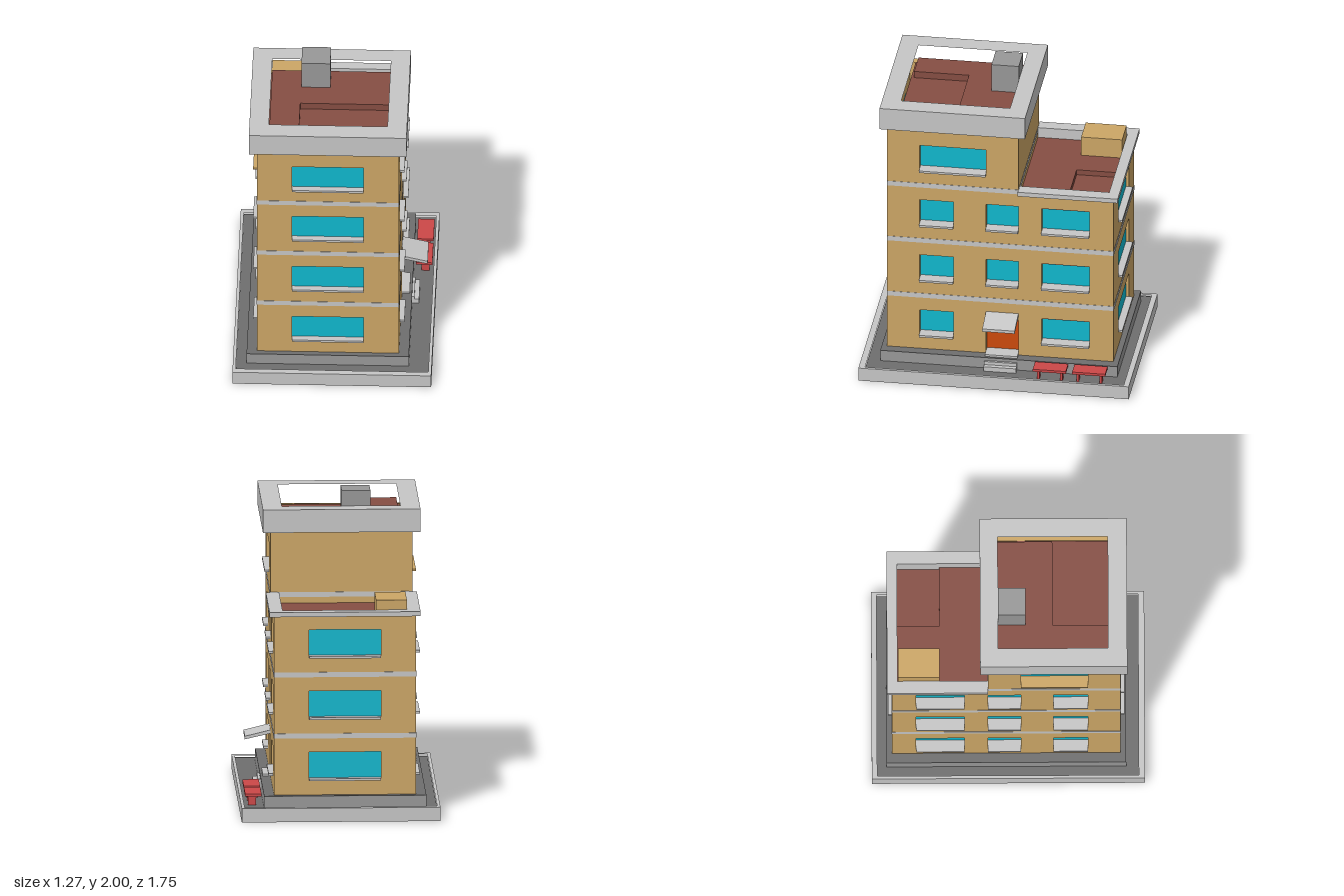
import * as THREE from 'three';

const mat = (name, color) => {
  const m = new THREE.MeshStandardMaterial({ color });
  m.name = name;
  return m;
};

export function createModel() {
  const root = new THREE.Group();
  root.name = 'apartmentBuilding';
  const tan = mat('tan wall', 0xcca666);
  const light = mat('light concrete', 0xc6c6c6);
  const grey = mat('mid grey', 0x989898);
  const dark = mat('dark paving', 0x6e6e6e);
  const glass = mat('window blue', 0x10b8ce);
  const orange = mat('door orange', 0xcc4a0c);
  const red = mat('roof red', 0x864e43);
  const bench = mat('bench red', 0xcc4848);

  const add = (name, geo, m, parent = root) => {
    const mesh = new THREE.Mesh(geo, m);
    mesh.name = name;
    parent.add(mesh);
    return mesh;
  };
  // box from its limits
  const box = (name, m, x0, x1, y0, y1, z0, z1, parent = root) => {
    const mesh = add(name, new THREE.BoxGeometry(x1 - x0, y1 - y0, z1 - z0), m, parent);
    mesh.position.set((x0 + x1) / 2, (y0 + y1) / 2, (z0 + z1) / 2);
    return mesh;
  };
  const poly = (pts, C = THREE.Shape) => new C(pts.map(p => new THREE.Vector2(...p)));
  const rect = (a, b, c, d) => [[a, c], [b, c], [b, d], [a, d]];
  const panel = (outline, holes, depth) => {
    const s = poly(outline);
    s.holes = holes.map(h => poly([...rect(...h)].reverse(), THREE.Path));
    return new THREE.ExtrudeGeometry(s, { depth, bevelEnabled: false });
  };
  // horizontal slab: outline given in (x, z)
  const slab = (name, m, outline, holes, y0, y1) => {
    const flip = outline.map(([x, z]) => [x, -z]);
    const g = panel(flip, holes.map(([a, b, c, d]) => [a, b, -d, -c]), y1 - y0);
    g.rotateX(-Math.PI / 2);
    add(name, g, m).position.y = y0;
  };

  // main limits of the walls
  const L = -0.485, R = 0.425, F = 0.72, M = -0.13, B = -0.745;
  const floors = [0.25, 0.65, 1.05], H = 0.18, deep = 0.05, shallow = 0.02;

  // base tray and plinth
  box('baseSlab', light, -0.637, 0.637, 0, 0.07, -0.875, 0.875);
  slab('baseRim', light, rect(-0.637, 0.637, -0.875, 0.875), [[-0.617, 0.617, -0.84, 0.835]], 0.07, 0.09);
  box('paving', dark, -0.617, 0.617, 0.07, 0.076, -0.84, 0.835);
  box('plinth', grey, -0.55, 0.49, 0.07, 0.147, -0.78, 0.755);
  box('plinthTop', dark, -0.55, 0.49, 0.147, 0.151, -0.78, 0.755);

  // side walls: low rear block plus tall front tower
  const sideOutline = [[B, 0.15], [F, 0.15], [F, 1.76], [M, 1.76], [M, 1.33], [B, 1.33]];
  const columns = [[0.29, 0.51], [-0.13, 0.08], [-0.59, -0.28]];
  for (const side of [1, -1]) {
    const g = new THREE.Group();
    g.name = side > 0 ? 'leftSide' : 'rightSide';
    root.add(g);
    const outer = side > 0 ? R : L, inner = outer - side * deep;
    const span = (a, b) => [Math.min(a, b), Math.max(a, b)];
    const holes = [];
    const opening = (z0, z1, y0, h, sillMat) => {
      holes.push([z0, z1, y0, y0 + h]);
      box('window', glass, ...span(inner, inner - side * 0.006), y0, y0 + h, z0, z1, g);
      box('windowSill', sillMat, ...span(inner, outer + side * 0.03), y0 - 0.004, y0 + 0.01, z0, z1, g);
    };
    floors.forEach((y, i) => columns.forEach(([z0, z1], c) => {
      if (side > 0 && i === 0 && c === 1) return;
      opening(z0, z1, y, H, light);
      if (c === 2) box('windowCeiling', red, ...span(inner, outer - side * 0.002), y + H - 0.005, y + H, z0, z1, g);
    }));
    opening(0.08, 0.51, 1.445, H, side > 0 ? light : tan);
    if (side > 0) {
      holes.push([-0.13, 0.08, 0.16, 0.4]);
      box('door', orange, inner - 0.006, inner, 0.16, 0.4, -0.13, 0.08, g);
    }
    const wall = add('sideWall', panel(sideOutline, holes, deep), tan, g);
    wall.rotation.y = -Math.PI / 2;
    wall.position.x = side > 0 ? R : L + deep;
  }

  // front and rear walls with wide windows
  for (const [dir, face, ys, top] of [[1, F, [...floors, 1.445], 1.76], [-1, B, floors, 1.33]]) {
    const g = new THREE.Group();
    g.name = dir > 0 ? 'front' : 'rear';
    root.add(g);
    const back = face - dir * shallow;
    const holes = ys.map(y => [-0.26, 0.2, y, y + H]);
    const wall = add('wideWall', panel(rect(L + deep, R - deep, 0.15, top), holes, shallow), tan, g);
    wall.position.z = Math.min(face, back);
    for (const y of ys) {
      const z = [back, back - dir * 0.006].sort((a, b) => a - b);
      box('wideWindow', glass, -0.26, 0.2, y, y + H, ...z, g);
      const s = [back, face + dir * 0.025].sort((a, b) => a - b);
      box('wideSill', light, -0.26, 0.2, y - 0.004, y + 0.01, ...s, g);
    }
  }
  box('towerRearWall', tan, L + deep, R - deep, 1.2, 1.76, M, M + 0.03);

  // thin storey bands around the walls
  const e = 0.002;
  const band = (y, zBack) => slab('storeyBand', light, rect(L - e, R + e, zBack - e, F + e),
    [[L + e, R - e, zBack + e, F - e]], y, y + 0.032);
  band(0.52, B);
  band(0.92, B);
  band(1.32, M);

  // tower parapet, stepped roof and chimney
  slab('towerParapet', light, rect(-0.535, 0.475, -0.18, 0.762), [[-0.41, 0.35, -0.065, 0.64]], 1.75, 1.9);
  box('towerRoofLow', red, -0.43, 0.37, 1.74, 1.765, -0.09, 0.66);
  slab('towerRoofHigh', red, [[-0.41, -0.065], [0.35, -0.065], [0.35, 0.285], [-0.22, 0.285], [-0.22, 0.64], [-0.41, 0.64]], [], 1.76, 1.81);
  box('chimney', grey, -0.218, -0.033, 1.8, 2, -0.065, 0.112);

  // rear roof: open-ended rim, stepped floor and hatch
  const rim = (a, b, c, d, e2, f) => [[a, c], [b, c], [b, M], [f, M], [f, d], [e2, d], [e2, M], [a, M]];
  slab('rearRoofRim', light, rim(-0.513, 0.455, -0.777, -0.71, -0.43, 0.37), [], 1.32, 1.35);
  slab('rearRoofInnerWall', light, rim(L + deep, R - deep, -0.725, -0.71, -0.43, 0.37), [], 1.24, 1.32);
  box('rearRoofLow', red, -0.435, 0.375, 1.22, 1.245, -0.72, M);
  slab('rearRoofHigh', red, [[-0.43, -0.71], [-0.03, -0.71], [-0.03, -0.44], [0.37, -0.44], [0.37, M], [-0.43, M]], [], 1.24, 1.28);
  box('roofHatch', tan, -0.428, -0.23, 1.27, 1.412, -0.705, -0.44);

  // entrance steps and sloping canopy
  for (const [x, y] of [[0.475, 0.165], [0.505, 0.13], [0.535, 0.108]])
    box('entranceStep', light, 0.376, x, 0.076, y, -0.13, 0.08);
  const canopy = panel([[0.42, 0.43], [0.59, 0.392], [0.59, 0.412], [0.42, 0.453]], [], 0.21);
  add('doorCanopy', canopy, light).position.z = -0.13;

  // benches
  for (const z of [-0.357, -0.612]) {
    const g = new THREE.Group();
    g.name = 'bench';
    g.position.z = z;
    root.add(g);
    box('benchSeat', bench, 0.505, 0.61, 0.138, 0.155, -0.107, 0.107, g);
    for (const s of [-0.075, 0.075]) {
      box('benchBrace', bench, 0.525, 0.592, 0.125, 0.138, s - 0.008, s + 0.008, g);
      box('benchLeg', bench, 0.54, 0.59, 0.076, 0.126, s - 0.008, s + 0.008, g);
    }
  }
  return root;
}
